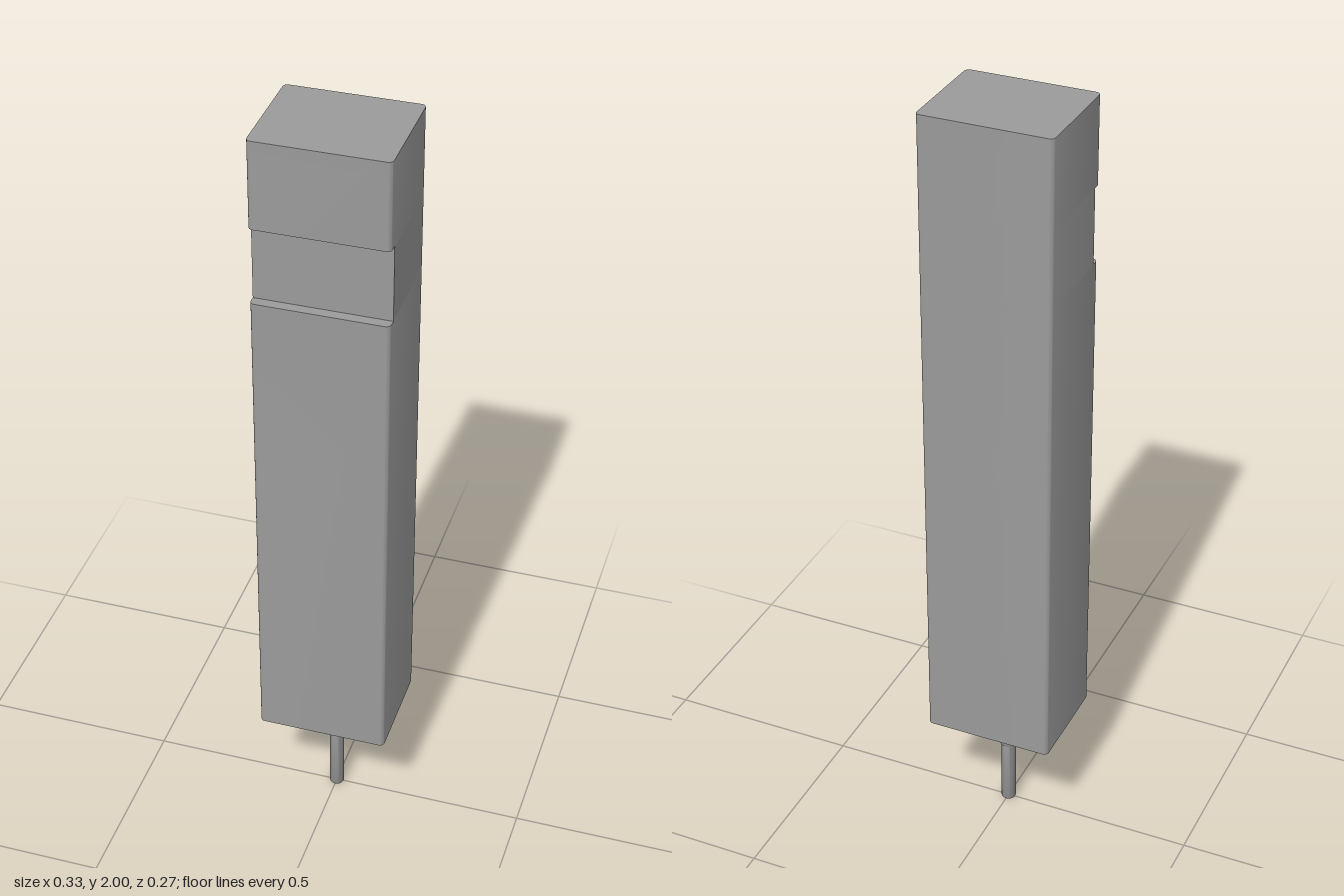
import * as THREE from 'three';
import { toCreasedNormals } from 'three/addons/utils/BufferGeometryUtils.js';

const HALF_X = 0.167, HALF_Z = 0.1366, RADIUS = 0.0125;
const BOTTOM = 0.293, TOP = 2;
const NOTCH_LOW = 1.581, NOTCH_HIGH = 1.777, NOTCH_Z = 0.11;
const CORNER_STEPS = 6;

// Rounded rectangle seen from above, running from +x towards +z
function outline() {
  const points = [];
  const corners = [[1, 1], [-1, 1], [-1, -1], [1, -1]];
  corners.forEach(([sx, sz], k) => {
    for (let i = 0; i <= CORNER_STEPS; i++) {
      const a = (k + i / CORNER_STEPS) * Math.PI / 2;
      points.push([
        sx * (HALF_X - RADIUS) + RADIUS * Math.cos(a),
        sz * (HALF_Z - RADIUS) + RADIUS * Math.sin(a),
      ]);
    }
  });
  return points;
}

// Joins closed rings from bottom to top, leaving out empty triangles
function loft(rings) {
  const positions = [];
  const tri = new THREE.Triangle();
  const add = (a, b, c) => {
    if (tri.set(a, b, c).getArea() < 1e-8) return;
    for (const p of [a, b, c]) positions.push(p.x, p.y, p.z);
  };
  for (let r = 0; r < rings.length - 1; r++) {
    const low = rings[r], high = rings[r + 1];
    for (let i = 0; i < low.length; i++) {
      const j = (i + 1) % low.length;
      add(low[i], high[i], low[j]);
      add(low[j], high[i], high[j]);
    }
  }
  const geometry = new THREE.BufferGeometry();
  geometry.setAttribute('position', new THREE.Float32BufferAttribute(positions, 3));
  return toCreasedNormals(geometry, 0.5);
}

export function createModel() {
  const group = new THREE.Group();
  group.name = 'notchedBlockWithPin';
  const material = new THREE.MeshStandardMaterial({ color: 0x9b9b9b });

  const addMesh = (name, geometry) => {
    const mesh = new THREE.Mesh(geometry, material);
    mesh.name = name;
    group.add(mesh);
  };

  // Tall block with a shallow notch across its front
  const shape = outline();
  const full = (y) => shape.map(([x, z]) => new THREE.Vector3(x, y, z));
  const cut = (y) => shape.map(([x, z]) => new THREE.Vector3(x, y, Math.min(z, NOTCH_Z)));
  const centre = (y) => shape.map(() => new THREE.Vector3(0, y, 0));
  addMesh('body', loft([
    centre(BOTTOM), full(BOTTOM),
    full(NOTCH_LOW), cut(NOTCH_LOW),
    cut(NOTCH_HIGH), full(NOTCH_HIGH),
    full(TOP), centre(TOP),
  ]));

  // Stepped pin with a small chamfer under the shoulder
  const profile = [
    [0, 0], [0.018, 0], [0.019, 0.002], [0.019, 0.181],
    [0.022, 0.181], [0.025, 0.187], [0.025, BOTTOM],
  ].map(([r, y]) => new THREE.Vector2(r, y));
  addMesh('pin', toCreasedNormals(new THREE.LatheGeometry(profile, 32), 0.5));

  return group;
}
